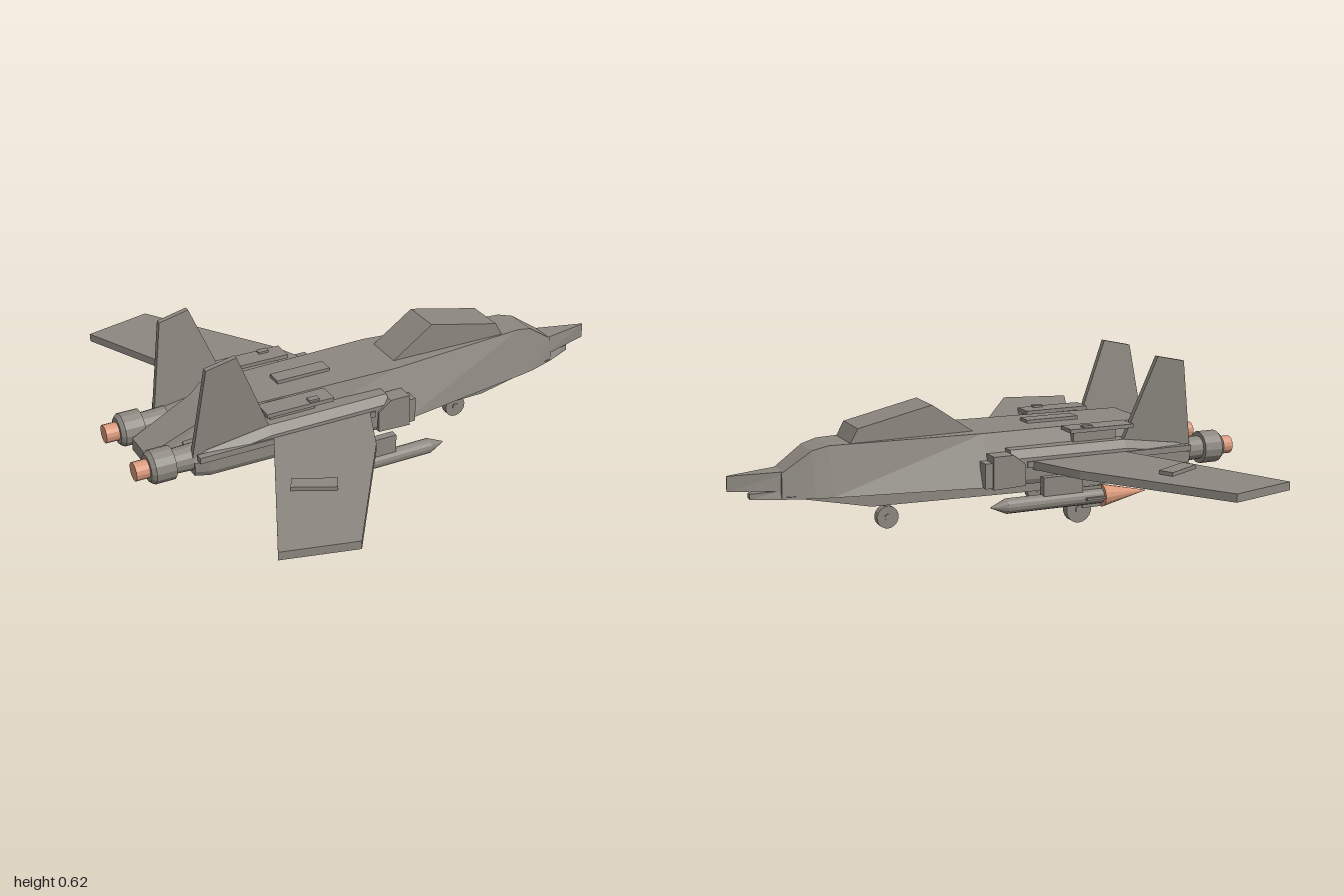
import * as THREE from 'three';

const grey = new THREE.MeshStandardMaterial({ color: 0x8c877f, flatShading: true });
grey.name = 'hull grey';
const copper = new THREE.MeshStandardMaterial({ color: 0xd8977a, flatShading: true });
copper.name = 'exhaust copper';

// Closed, faceted solid through rings of [x, y, z] points; faces always end up outward
function loft(rings) {
  const tris = [];
  const n = rings[0].length;
  for (let r = 0; r < rings.length - 1; r++) {
    for (let i = 0; i < n; i++) {
      const j = (i + 1) % n;
      const a = rings[r][i], b = rings[r][j], c = rings[r + 1][j], d = rings[r + 1][i];
      tris.push([a, b, c], [a, c, d]);
    }
  }
  const first = rings[0], last = rings[rings.length - 1];
  for (let i = 1; i < n - 1; i++) {
    tris.push([first[0], first[i + 1], first[i]], [last[0], last[i], last[i + 1]]);
  }
  let volume = 0;
  for (const [a, b, c] of tris) {
    volume += a[0] * (b[1] * c[2] - b[2] * c[1])
      + a[1] * (b[2] * c[0] - b[0] * c[2])
      + a[2] * (b[0] * c[1] - b[1] * c[0]);
  }
  if (volume < 0) tris.forEach((t) => t.reverse());
  const geometry = new THREE.BufferGeometry();
  geometry.setAttribute('position', new THREE.Float32BufferAttribute(tris.flat(2), 3));
  geometry.computeVertexNormals();
  return geometry;
}

// Outline in x-y given thickness in z
const sidePrism = (pts, z0, z1) => loft([z0, z1].map((z) => pts.map(([x, y]) => [x, y, z])));
// Outline in x-z given thickness in y
const planPrism = (pts, y0, y1) => loft([y0, y1].map((y) => pts.map(([x, z]) => [x, y, z])));

function add(parent, name, geometry, material = grey) {
  const mesh = new THREE.Mesh(geometry, material);
  mesh.name = name;
  parent.add(mesh);
  return mesh;
}

// Box given by its limits
function box(parent, name, x0, x1, y0, y1, z0, z1) {
  const g = new THREE.BoxGeometry(x1 - x0, y1 - y0, Math.abs(z1 - z0));
  g.translate((x0 + x1) / 2, (y0 + y1) / 2, (z0 + z1) / 2);
  return add(parent, name, g);
}

// Round part along x, from radius r0 at x0 to radius r1 at x1
function rod(parent, name, x0, x1, r0, r1, y, z, material = grey) {
  const g = new THREE.CylinderGeometry(r1, r0, x1 - x0, 14);
  g.rotateZ(-Math.PI / 2);
  g.translate((x0 + x1) / 2, y, z);
  return add(parent, name, g, material);
}

function wheel(parent, name, x, z, r, thickness, top) {
  const gear = new THREE.Group();
  gear.name = name;
  const tyre = new THREE.CylinderGeometry(r, r, thickness, 18);
  tyre.rotateX(Math.PI / 2);
  tyre.translate(x, r + (z === 0 ? 0.014 : 0), z);
  add(gear, 'tyre', tyre);
  const hub = new THREE.CylinderGeometry(r * 0.3, r * 0.3, thickness + 0.008, 10);
  hub.rotateX(Math.PI / 2);
  hub.translate(x, r + (z === 0 ? 0.014 : 0), z);
  add(gear, 'hub', hub);
  box(gear, 'strut', x - 0.01, x + 0.01, r, top, z - 0.012, z + 0.012);
  parent.add(gear);
}

// Everything that exists once on each side; s is +1 or -1
function buildSide(s) {
  const side = new THREE.Group();
  side.name = s > 0 ? 'leftSide' : 'rightSide';

  // Engine nacelle, lower and slimmer towards the tail
  const nacelle = [[-0.79, 0.265, 0.2], [-0.74, 0.275, 0.22], [-0.5, 0.31, 0.222], [-0.02, 0.312, 0.222]];
  add(side, 'nacelle', loft(nacelle.map(([x, top, w]) => [
    [x, 0.18, s * 0.08], [x, 0.18, s * (w - 0.01)], [x, 0.2, s * w],
    [x, top - 0.03, s * w], [x, top, s * (w - 0.025)], [x, top, s * 0.08],
  ])));
  box(side, 'nacellePanel', -0.78, -0.08, 0.245, 0.268, s * 0.2, s * 0.228);

  // Air intake
  add(side, 'intake', sidePrism(
    [[-0.07, 0.18], [0.06, 0.175], [0.06, 0.3], [-0.02, 0.3], [-0.07, 0.26]], s * 0.165, s * 0.232));
  box(side, 'intakeLip', 0.06, 0.09, 0.18, 0.275, s * 0.17, s * 0.222);

  // Engine exhaust
  rod(side, 'engineNeck', -0.87, -0.76, 0.045, 0.05, 0.235, s * 0.147);
  rod(side, 'nozzle', -0.935, -0.86, 0.063, 0.063, 0.235, s * 0.147);
  rod(side, 'nozzleRim', -0.95, -0.935, 0.05, 0.063, 0.235, s * 0.147);
  rod(side, 'exhaust', -1, -0.94, 0.035, 0.035, 0.235, s * 0.147, copper);

  // Swept wing with a raised panel
  add(side, 'wing', planPrism(
    [[-0.79, 0.872], [-0.525, 0.943], [-0.19, 0.43], [-0.08, 0.17], [-0.47, 0.17]]
      .map(([x, z]) => [x, s * z]), 0.237, 0.268));
  const panel = box(side, 'wingPanel', -0.08, 0.08, -0.01, 0.01, -0.029, 0.029);
  panel.position.set(-0.51, 0.272, s * 0.576);
  panel.rotation.y = -s * 0.475;

  // Tail fin, leaning slightly outwards
  const fin = [[-0.795, 0.25], [-0.74, 0.6], [-0.625, 0.625], [-0.495, 0.3]];
  add(side, 'tailFin', loft([-0.011, 0.011].map((t) =>
    fin.map(([x, y]) => [x, y, s * (0.18 + (y - 0.25) * 0.088) + t]))));

  // Raised panel above the nacelle
  box(side, 'shoulderPanel', -0.52, -0.255, 0.36, 0.375, s * 0.148, s * 0.232);
  box(side, 'shoulderLatch', -0.35, -0.31, 0.375, 0.383, s * 0.2, s * 0.225);
  box(side, 'shoulderSupport', -0.48, -0.3, 0.3, 0.362, s * 0.1, s * 0.165);

  // Missile under the wing
  const mz = s * 0.355;
  box(side, 'pylon', -0.235, -0.075, 0.16, 0.24, mz - 0.015, mz + 0.015);
  rod(side, 'missileBody', -0.32, 0.07, 0.028, 0.028, 0.147, mz);
  rod(side, 'missileNose', 0.07, 0.13, 0.028, 0.002, 0.147, mz);
  rod(side, 'missileFlame', -0.505, -0.318, 0.001, 0.043, 0.147, mz, copper);
  box(side, 'missileFinUpright', -0.317, -0.24, 0.107, 0.187, mz - 0.004, mz + 0.004);
  box(side, 'missileFinFlat', -0.317, -0.24, 0.143, 0.151, mz - 0.04, mz + 0.04);

  wheel(side, 'rearWheel', -0.315, s * 0.172, 0.052, 0.032, 0.19);
  return side;
}

export function createModel() {
  const jet = new THREE.Group();
  jet.name = 'jet';

  // Fuselage sections: x, bottom, half width below, top, half width above
  const hull = [
    [-0.92, 0.185, 0.078, 0.235, 0.07], [-0.68, 0.18, 0.14, 0.345, 0.09],
    [-0.63, 0.18, 0.17, 0.365, 0.12], [0.06, 0.18, 0.205, 0.37, 0.135],
    [0.64, 0.18, 0.11, 0.365, 0.075], [0.7, 0.18, 0.098, 0.35, 0.065],
    [0.81, 0.18, 0.062, 0.275, 0.05], [0.815, 0.18, 0.06, 0.21, 0.048], [0.92, 0.18, 0.014, 0.2, 0.012],
  ];
  add(jet, 'fuselage', loft(hull.map(([x, b, w, t, u]) =>
    [[x, b, -w], [x, b, w], [x, t, u], [x, t, -u]])));

  // Belly
  add(jet, 'belly', sidePrism(
    [[-0.86, 0.19], [-0.84, 0.175], [-0.58, 0.108], [-0.1, 0.112], [0.48, 0.122], [0.8, 0.19]], -0.075, 0.075));

  // Nose wedge
  add(jet, 'nose', loft([
    [[0.765, 0.208, -0.065], [0.765, 0.208, 0.065], [0.765, 0.28, 0.055], [0.765, 0.28, -0.055]],
    [[1, 0.215, -0.003], [1, 0.215, 0.003], [1, 0.272, 0.003], [1, 0.272, -0.003]],
  ]));

  // Canopy
  add(jet, 'canopy', sidePrism(
    [[0.07, 0.365], [0.24, 0.482], [0.53, 0.418], [0.57, 0.345], [0.5, 0.34], [0.07, 0.34]], -0.078, 0.078));

  box(jet, 'backPanel', -0.385, -0.17, 0.36, 0.38, -0.031, 0.031);
  wheel(jet, 'frontWheel', 0.395, 0, 0.043, 0.03, 0.13);

  jet.add(buildSide(1), buildSide(-1));
  return jet;
}
